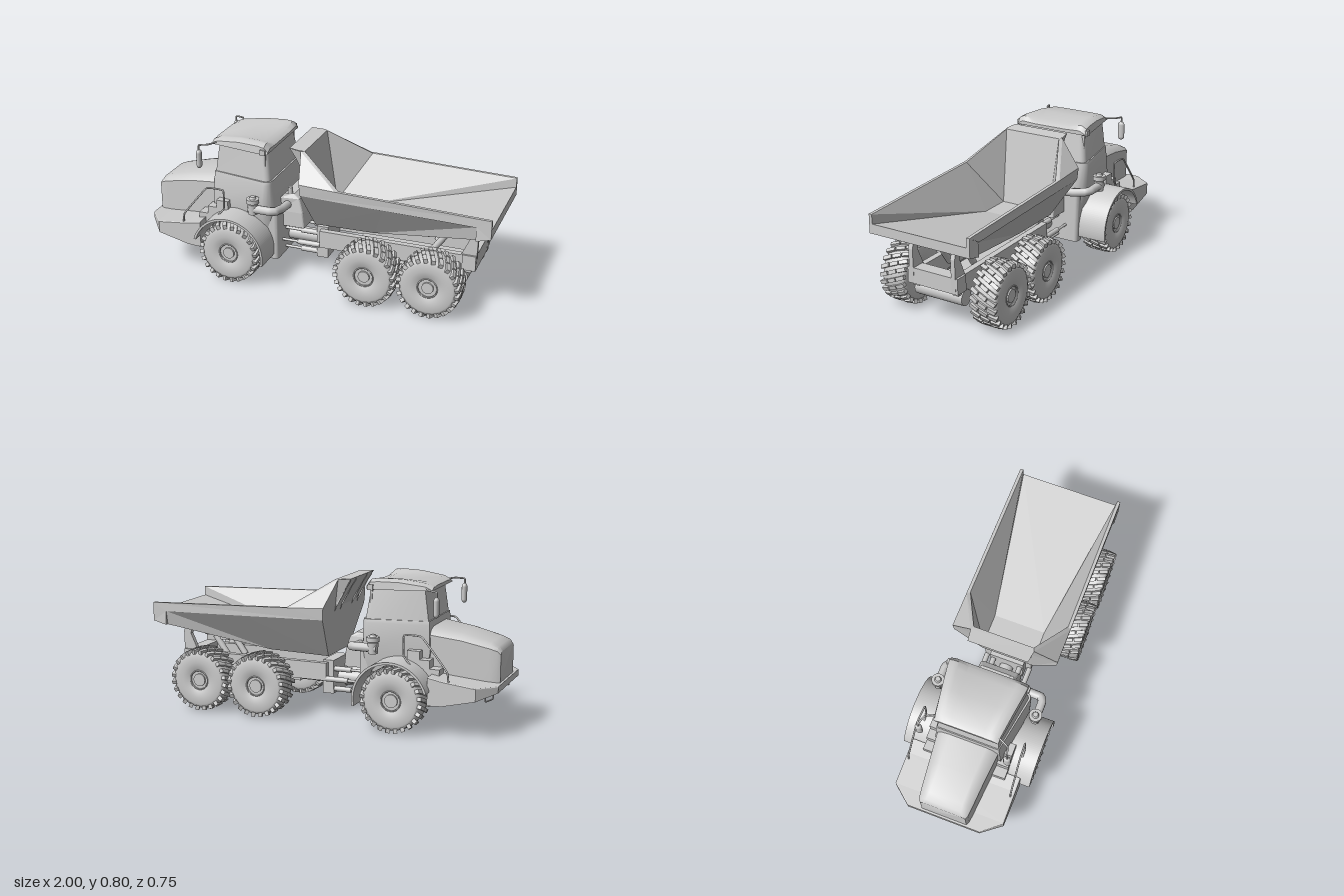
import * as THREE from 'three';
import { toCreasedNormals } from 'three/addons/utils/BufferGeometryUtils.js';

const grey = new THREE.MeshStandardMaterial({ color: 0xcccccc });
const thin = new THREE.MeshStandardMaterial({ color: 0xcccccc, side: THREE.DoubleSide });
const V = (p) => new THREE.Vector3(...p);

function add(parent, name, geo, pos = [0, 0, 0], mat = grey) {
  const m = new THREE.Mesh(geo, mat);
  m.name = name;
  m.position.set(...pos);
  parent.add(m);
  return m;
}
// box given by its min/max ranges
const box = (parent, name, x0, x1, y0, y1, z0, z1) =>
  add(parent, name, new THREE.BoxGeometry(x1 - x0, y1 - y0, Math.abs(z1 - z0)), [(x0 + x1) / 2, (y0 + y1) / 2, (z0 + z1) / 2]);
// straight rod between two points
function rod(parent, name, a, b, r, sides = 16) {
  const d = V(b).sub(V(a));
  const m = add(parent, name, new THREE.CylinderGeometry(r, r, d.length(), sides), V(a).add(V(b)).multiplyScalar(0.5).toArray());
  m.quaternion.setFromUnitVectors(new THREE.Vector3(0, 1, 0), d.normalize());
}
// bent pipe with lightly rounded corners
function pipe(parent, name, pts, r) {
  const curve = new THREE.CatmullRomCurve3(pts.map(V), false, 'catmullrom', 0.15);
  add(parent, name, new THREE.TubeGeometry(curve, pts.length * 10, r, 10));
}
// flat polygons, fan-triangulated; edges sharper than the crease angle stay hard
function panels(parent, name, polys, crease = 0) {
  const out = [];
  for (const p of polys) for (let i = 1; i < p.length - 1; i++) out.push(...p[0], ...p[i], ...p[i + 1]);
  const g = new THREE.BufferGeometry();
  g.setAttribute('position', new THREE.Float32BufferAttribute(out, 3));
  g.computeVertexNormals();
  add(parent, name, crease ? toCreasedNormals(g, crease) : g, [0, 0, 0], thin);
}
// closed skin through matching rings of points
function loft(parent, name, rings, crease = 0) {
  const polys = [[...rings[0]].reverse(), rings[rings.length - 1]];
  for (let i = 0; i < rings.length - 1; i++)
    rings[i].forEach((p, j) => {
      const k = (j + 1) % rings[i].length;
      polys.push([p, rings[i][k], rings[i + 1][k], rings[i + 1][j]]);
    });
  panels(parent, name, polys, crease);
}
// mirror half of a cross-section [y, z] at x into a ring
const ring = (x, half) => [...half.map(([y, z]) => [x, y, z]), ...half.map(([y, z]) => [x, y, -z]).reverse()];
// chamfered section across x, with half width w and chamfer c at the top
const section = (x, w, y0, y1, c) => ring(x, [[y0, w], [y1 - c, w], [y1 - c * 0.3, w - c * 0.7], [y1, w - c * 1.8]]);
// roof section with raised sides and a lower middle
const roofSection = (x, w, y0, ySide, yMid) => ring(x, [[y0, w], [ySide - 0.015, w - 0.005], [ySide, w - 0.035],
  [ySide - 0.002, w - 0.06], [yMid, w * 0.5]]);
// trapezoid plan at height y, with rounded rear corners
function plan(y, x0, x1, zf, zr, c = 0.03) {
  const half = [[x0, zf]];
  for (let i = 0; i <= 4; i++) {
    const t = (i / 4) * Math.PI / 2;
    half.push([x1 - c + c * Math.sin(t), zr - c + c * Math.cos(t)]);
  }
  return [...half.map(([x, z]) => [x, y, z]), ...half.map(([x, z]) => [x, y, -z]).reverse()];
}

function makeWheel(x, s) {
  const w = new THREE.Group();
  w.name = 'wheel';
  const prof = [[0.052, -0.055], [0.056, -0.068], [0.1, -0.075], [0.14, -0.074], [0.16, -0.064], [0.166, -0.03], [0.167, 0],
    [0.166, 0.03], [0.16, 0.064], [0.14, 0.074], [0.1, 0.075], [0.056, 0.068], [0.052, 0.055]].map((p) => new THREE.Vector2(...p));
  add(w, 'tyre', new THREE.LatheGeometry(prof, 48).rotateX(Math.PI / 2));
  add(w, 'rim', new THREE.CylinderGeometry(0.054, 0.054, 0.116, 32).rotateX(Math.PI / 2));
  add(w, 'rimRing', new THREE.TorusGeometry(0.054, 0.004, 8, 40), [0, 0, s * 0.067]);
  add(w, 'hub', new THREE.CylinderGeometry(0.032, 0.036, 0.136, 24).rotateX(Math.PI / 2));
  // slanted tread bars split in three rows, the outer rows wrapping the shoulder
  const n = 24;
  for (let i = 0; i < n; i++)
    for (const r of [-1, 0, 1]) {
      const pivot = new THREE.Group();
      pivot.rotation.z = (i / n) * Math.PI * 2 - s * r * 0.125;
      const lug = add(pivot, 'treadBar', new THREE.BoxGeometry(0.021, r ? 0.024 : 0.016, 0.05), [0, r ? 0.164 : 0.169, r * 0.051]);
      lug.rotation.set(r * 0.12, s * 0.4, 0);
      w.add(pivot);
    }
  w.position.set(x, 0.183, s * 0.283 + 0.006);
  return w;
}

function makeBody() {
  const g = new THREE.Group();
  g.name = 'dumpBody';
  for (const s of [1, -1]) {
    const P = (x, y, z) => [x, y, s * z];
    const A = P(-0.02, 0.345, 0.15), A2 = P(0.33, 0.355, 0.16), A3 = P(0.92, 0.475, 0.285);
    const B = P(-0.05, 0.575, 0.3), B2 = P(0.42, 0.565, 0.3), B3 = P(0.92, 0.553, 0.3);
    const C = P(-0.055, 0.64, 0.305), D = P(-0.09, 0.78, 0.18), E = P(-0.16, 0.787, 0.17), K = P(-0.06, 0.62, 0.15);
    const F = P(0.15, 0.63, 0.305), G = P(1, 0.6, 0.305), H = P(1, 0.495, 0.305), H2 = P(0.92, 0.475, 0.305);
    const a = P(0, 0.37, 0.15), a2 = P(0.18, 0.37, 0.15), a3 = P(1, 0.548, 0.285);
    const f = P(0.165, 0.63, 0.287), gi = P(1, 0.6, 0.287), d = P(-0.07, 0.78, 0.17);
    panels(g, 'outerSide', [[A, A2, B2, B], [A2, A3, B3, B2], [A3, H2, B3]]);
    panels(g, 'sideRail', [[B, B2, B3, P(0.92, 0.553, 0.305), G, F, C], [B3, G, H, H2], [C, F, D]]);
    panels(g, 'innerSide', [[a, a2, f], [a2, a3, gi, f], [a, f, d]]);
    panels(g, 'rim', [[F, G, gi, f], [F, f, d, D], [G, gi, a3, H]]);
    panels(g, 'headboardSide', [[A, B, C, K], [C, D, K], [D, E, K]]);
    // ribs on the front of the headboard
    for (const z of [0.16, 0.08])
      panels(g, 'headboardRib', [[P(-0.158, 0.785, z), P(-0.152, 0.765, z), P(-0.075, 0.65, z), P(-0.06, 0.6, z)]]);
    // hangers under the sloping floor
    for (const x of [0.6, 0.7, 0.8])
      box(g, 'bodyBracket', x, x + 0.05, 0.385 + (x - 0.6) * 0.22, 0.43 + (x - 0.6) * 0.2, s * 0.1, s * 0.16);
  }
  // full-width surfaces
  const span = (...pts) => [...pts, ...pts.map(([x, y, z]) => [x, y, -z]).reverse()];
  panels(g, 'floor', [span([0, 0.37, 0.15], [0.18, 0.37, 0.15]), span([0.18, 0.37, 0.15], [1, 0.548, 0.285])]);
  panels(g, 'underside', [span([-0.02, 0.345, 0.15], [0.33, 0.355, 0.16]), span([0.33, 0.355, 0.16], [0.92, 0.475, 0.285]),
    span([0.92, 0.475, 0.305], [1, 0.495, 0.305])]);
  panels(g, 'tailLip', [span([1, 0.495, 0.305], [1, 0.548, 0.285])]);
  panels(g, 'headboard', [span([0, 0.37, 0.15], [-0.07, 0.78, 0.17]), span([-0.02, 0.345, 0.15], [-0.06, 0.62, 0.15]),
    span([-0.06, 0.62, 0.15], [-0.16, 0.787, 0.17]), span([-0.07, 0.78, 0.17], [-0.09, 0.782, 0.18], [-0.16, 0.787, 0.17])]);
  return g;
}

function makeTractor() {
  const g = new THREE.Group();
  g.name = 'frontUnit';
  // bumper and underside, hood, cab, roof
  loft(g, 'bumper', [[-1, 0.21, 0.25, 0.285], [-0.91, 0.318, 0.22, 0.29], [-0.73, 0.318, 0.176, 0.31], [-0.65, 0.318, 0.172, 0.325]]
    .map(([x, w, y0, y1]) => section(x, w, y0, y1, 0.004)));
  loft(g, 'hood', [[-0.988, 0.13, 0.28, 0.45, 0.015], [-0.97, 0.14, 0.28, 0.475, 0.022], [-0.93, 0.145, 0.28, 0.493, 0.028],
    [-0.78, 0.158, 0.29, 0.53, 0.033], [-0.58, 0.178, 0.31, 0.56, 0.038]].map((p) => section(...p)), 0.65);
  loft(g, 'cabBase', [plan(0.3, -0.6, -0.235, 0.19, 0.21, 0.07), plan(0.42, -0.62, -0.235, 0.19, 0.24, 0.07),
    plan(0.57, -0.612, -0.25, 0.18, 0.24, 0.04), plan(0.59, -0.61, -0.252, 0.178, 0.235, 0.035)], 0.7);
  loft(g, 'cab', [plan(0.55, -0.61, -0.256, 0.176, 0.23), plan(0.77, -0.578, -0.285, 0.165, 0.2)], 0.5);
  loft(g, 'roof', [[-0.622, 0.18, 0.752, 0.77, 0.772], [-0.585, 0.186, 0.752, 0.788, 0.788], [-0.45, 0.205, 0.75, 0.805, 0.797],
    [-0.33, 0.222, 0.748, 0.806, 0.79], [-0.29, 0.226, 0.748, 0.8, 0.782], [-0.268, 0.222, 0.752, 0.775, 0.77]]
    .map((p) => roofSection(...p)), 0.65);
  box(g, 'chassis', -0.68, -0.25, 0.17, 0.4, -0.12, 0.12);
  loft(g, 'rearWall', [plan(0.115, -0.28, -0.225, 0.205, 0.205, 0.02), plan(0.42, -0.28, -0.225, 0.21, 0.21, 0.02)], 0.7);
  loft(g, 'rearHousing', [plan(0.29, -0.25, -0.1, 0.12, 0.12, 0.01), plan(0.38, -0.25, -0.108, 0.12, 0.12, 0.01),
    plan(0.46, -0.24, -0.13, 0.12, 0.11, 0.01), plan(0.485, -0.22, -0.165, 0.11, 0.1, 0.01)]);

  // fender arch in side outline
  const arch = new THREE.Shape();
  arch.absarc(0, 0, 0.213, -0.2, Math.PI - 0.3, false);
  arch.absarc(0, 0, 0.2, Math.PI - 0.3, -0.2, true);
  for (const s of [1, -1]) {
    const z = (v) => s * v;
    add(g, 'fender', new THREE.ExtrudeGeometry(arch, { depth: 0.19, bevelEnabled: false, curveSegments: 32 }),
      [-0.46, 0.185, s > 0 ? 0.185 : -0.375]);
    // access stairs climbing from the bumper to the cab
    for (let i = 0; i < 3; i++)
      box(g, 'cabStair', -0.69 + i * 0.055, -0.62 + i * 0.055, 0.3, 0.35 + i * 0.045, z(0.165), z(0.24));
    box(g, 'doorFrame', -0.3, -0.288, 0.57, 0.76, z(0.19), z(0.21));
    box(g, 'roofLamp', -0.31, -0.28, 0.745, 0.775, z(0.2), z(0.232));
    pipe(g, 'handrail', [[-0.76, 0.3, z(0.3)], [-0.75, 0.36, z(0.3)], [-0.61, 0.53, z(0.295)], [-0.51, 0.53, z(0.29)], [-0.51, 0.42, z(0.29)],
      [-0.56, 0.36, z(0.29)]], 0.005);
    pipe(g, 'mirrorArm', [[-0.59, 0.765, z(0.17)], [-0.62, 0.765, z(0.23)], [-0.67, 0.76, z(0.247)], [-0.67, 0.71, z(0.247)]], 0.005);
    const mirror = add(g, 'mirror', new THREE.CapsuleGeometry(0.02, 0.07, 6, 14), [-0.67, 0.68, z(0.247)]);
    mirror.scale.x = 0.75;
    // air cleaner and its duct
    add(g, 'airCleaner', new THREE.CylinderGeometry(0.03, 0.026, 0.06, 24), [-0.335, 0.447, z(0.285)]);
    add(g, 'airCleanerCap', new THREE.CylinderGeometry(0.036, 0.036, 0.024, 24), [-0.335, 0.495, z(0.285)]);
    add(g, 'airCleanerTop', new THREE.CylinderGeometry(0.014, 0.02, 0.015, 20), [-0.335, 0.513, z(0.285)]);
    pipe(g, 'airDuct', [[-0.36, 0.447, z(0.287)], [-0.235, 0.447, z(0.287)], [-0.207, 0.444, z(0.27)], [-0.2, 0.43, z(0.2)], [-0.2, 0.42, z(0.1)]], 0.024);
    pipe(g, 'bumperStep', [[-0.96, 0.26, z(0.16)], [-0.96, 0.205, z(0.16)], [-0.94, 0.205, z(0.235)], [-0.94, 0.26, z(0.235)]], 0.004);
  }
  rod(g, 'exhaustStack', [-0.19, 0.42, 0.09], [-0.19, 0.52, 0.09], 0.014);
  return g;
}

function makeRearFrame() {
  const g = new THREE.Group();
  g.name = 'rearFrame';
  box(g, 'hitchBlock', -0.03, 0.035, 0.12, 0.31, -0.1, 0.1);
  rod(g, 'articulationBarrel', [-0.25, 0.2, 0], [0.2, 0.2, 0], 0.04, 24);
  box(g, 'centreTunnel', 0.2, 0.8, 0.16, 0.24, -0.045, 0.045);
  box(g, 'rearCrossMember', 0.82, 0.895, 0.22, 0.308, -0.155, 0.155);
  rod(g, 'rearCrossTube', [0.81, 0.172, -0.147], [0.81, 0.172, 0.147], 0.044, 24);
  rod(g, 'bodyHingeTube', [0.86, 0.455, -0.2], [0.86, 0.455, 0.2], 0.012);
  for (const s of [1, -1]) {
    const z = (v) => s * v;
    box(g, 'frameRail', 0, 0.87, 0.2, 0.3, z(0.105), z(0.14));
    box(g, 'tandemBeam', 0.36, 0.66, 0.16, 0.21, z(0.15), z(0.185));
    // steering rams
    for (const [y, zz] of [[0.26, 0.08], [0.21, 0.13], [0.145, 0.08]]) {
      rod(g, 'steeringRod', [-0.25, y, z(zz)], [0, y, z(zz)], 0.008, 10);
      rod(g, 'steeringRam', [-0.13, y, z(zz)], [0, y, z(zz)], 0.015);
    }
    // tipping ram and body hinge
    rod(g, 'tipRam', [0.62, 0.25, z(0.087)], [0.72, 0.39, z(0.087)], 0.018);
    rod(g, 'tipRod', [0.72, 0.39, z(0.087)], [0.745, 0.425, z(0.087)], 0.011);
    rod(g, 'tipRamEye', [0.74, 0.42, z(0.07)], [0.74, 0.42, z(0.104)], 0.014);
    const post = new THREE.Shape([[0.8, 0.28], [0.895, 0.22], [0.9, 0.41], [0.88, 0.475], [0.84, 0.47], [0.855, 0.4]]
      .map((p) => new THREE.Vector2(...p)));
    add(g, 'hingePost', new THREE.ExtrudeGeometry(post, { depth: 0.026, bevelEnabled: false }), [0, 0, s > 0 ? 0.117 : -0.143]);
  }
  return g;
}

export function createModel() {
  const model = new THREE.Group();
  model.name = 'articulatedDumpTruck';
  model.add(makeTractor(), makeRearFrame(), makeBody());
  for (const x of [-0.46, 0.335, 0.69]) {
    rod(model, 'axle', [x, 0.18, -0.25], [x, 0.18, 0.25], 0.03, 24);
    add(model, 'differential', new THREE.SphereGeometry(0.052, 20, 14), [x, 0.183, 0]);
    for (const s of [1, -1]) model.add(makeWheel(x, s));
  }
  return model;
}
